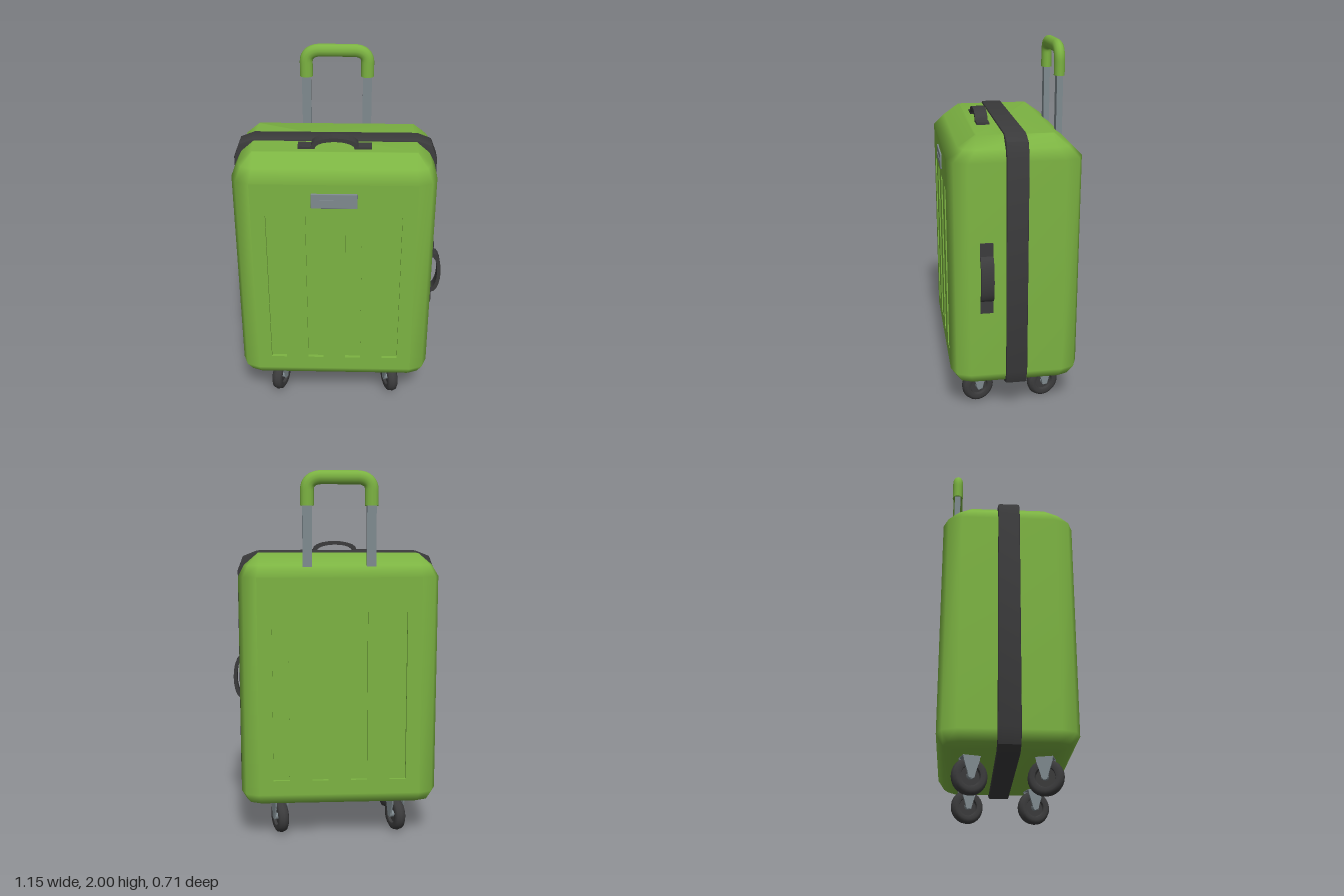
import * as THREE from 'three';
import { toCreasedNormals } from 'three/addons/utils/BufferGeometryUtils.js';
import { RoundedBoxGeometry } from 'three/addons/geometries/RoundedBoxGeometry.js';

const mat = (name, color) => Object.assign(new THREE.MeshStandardMaterial({ color }), { name });
const green = mat('shell green', 0x7cb342);
const dark = mat('rubber dark grey', 0x3b3b3c);
const metal = mat('metal grey', 0x7f8a8f);

const CX = -0.025, CZ = -0.006; // middle of the case
const HX = 0.537, HZ = 0.35;    // half width and half depth
const LOW = 0.27, HIGH = 1.45;  // flat part of the walls

function add(parent, name, geometry, material, x = 0, y = 0, z = 0) {
  const mesh = new THREE.Mesh(geometry, material);
  mesh.name = name;
  mesh.position.set(x, y, z);
  parent.add(mesh);
  return mesh;
}

// Outline of a rectangle with two-step rounded corners, running from +x to +second axis
function roundedLoop(hx, hz, r) {
  const k = r * 0.28;
  const corner = [[hx, hz - r], [hx - k, hz - k], [hx - r, hz]];
  const loop = [];
  for (const [sx, sz] of [[1, 1], [-1, 1], [-1, -1], [1, -1]]) {
    const pts = corner.map(([x, z]) => [x * sx, z * sz]);
    loop.push(...(sx * sz > 0 ? pts : pts.reverse()));
  }
  return loop;
}

// Shell lofted upwards through rounded sections, open where the ribbed panels go
function shellGeometry() {
  // height, inset in x, inset in z, corner radius
  const stations = [
    [0.19, 0.1, 0.1, 0.01], [0.215, 0.03, 0.035, 0.08], [LOW, 0, 0, 0.1],
    [HIGH, 0, 0, 0.1], [1.51, 0.03, 0.06, 0.08], [1.57, 0.1, 0.145, 0.01],
  ];
  const pos = [], all = [], open = [], N = 12;
  for (const [y, ix, iz, r] of stations)
    for (const [x, z] of roundedLoop(HX - ix, HZ - iz, r)) pos.push(x, y, z);
  const tri = (keep, ...t) => { all.push(...t); if (keep) open.push(...t); };
  for (let i = 0; i < stations.length - 1; i++)
    for (let j = 0; j < N; j++) {
      const a = i * N + j, b = i * N + (j + 1) % N;
      const keep = !(i === 2 && (j === 2 || j === 8));
      tri(keep, a, a + N, b);
      tri(keep, b, a + N, b + N);
    }
  const top = (stations.length - 1) * N;
  for (let j = 1; j < N - 1; j++) {
    tri(true, 0, j, j + 1);
    tri(true, top, top + j + 1, top + j);
  }
  const g = new THREE.BufferGeometry();
  g.setAttribute('position', new THREE.Float32BufferAttribute(pos, 3));
  g.setIndex(all);
  g.computeVertexNormals();
  g.setIndex(open);
  return g;
}

function rectPath(PathType, x0, x1, y0, y1) {
  return new PathType([[x0, y0], [x1, y0], [x1, y1], [x0, y1]].map(p => new THREE.Vector2(...p)));
}

// Flat wall with four sunken grooves
function ribbedPanel(name) {
  const group = new THREE.Group(), depth = 0.02;
  group.name = name;
  const shape = rectPath(THREE.Shape, -HX + 0.1, HX - 0.1, LOW, HIGH);
  for (const x of [-0.316, -0.105, 0.105, 0.316]) {
    shape.holes.push(rectPath(THREE.Path, x - 0.044, x + 0.044, 0.35, 1.267));
    add(group, 'grooveFloor', new THREE.PlaneGeometry(0.09, 0.92), green, x, 0.8085, HZ - depth + 0.001);
  }
  add(group, 'panel', new THREE.ExtrudeGeometry(shape, { depth, bevelEnabled: false }), green, 0, 0, HZ - depth);
  return group;
}

// Strap handle: two flat feet joined by an arch, standing on y = 0
function strapHandle(name, height) {
  const w = 0.068, t = 0.02, foot = 0.195, arch = 0.125, n = 10;
  const curve = (half, h) => Array.from({ length: n + 1 }, (_, i) => {
    const a = Math.PI * i / n;
    return new THREE.Vector2(-half * Math.cos(a), h * Math.sin(a) ** 0.9);
  });
  const outer = curve(arch, height - 0.012).map(p => p.add(new THREE.Vector2(0, 0.012)));
  const inner = curve(arch - t, height - t).reverse();
  const shape = new THREE.Shape([
    new THREE.Vector2(-foot, 0), new THREE.Vector2(-foot, 0.012), ...outer,
    new THREE.Vector2(foot, 0.012), new THREE.Vector2(foot, 0), ...inner]);
  const g = new THREE.ExtrudeGeometry(shape, { depth: w, bevelEnabled: false }).translate(0, 0, -w / 2);
  const group = new THREE.Group();
  group.name = name;
  add(group, 'strap', toCreasedNormals(g, 0.7), dark);
  return group;
}

// Swivel wheel with tyre, hub and two-pronged fork
function caster(name, x, z, turn) {
  const group = new THREE.Group();
  group.name = name;
  group.position.set(x, 0, z);
  group.rotation.y = turn;
  const profile = [[0.001, -0.012], [0.048, -0.012], [0.052, -0.026], [0.072, -0.031], [0.087, -0.022], [0.093, 0],
    [0.087, 0.022], [0.072, 0.031], [0.052, 0.026], [0.048, 0.012], [0.001, 0.012]];
  const tyre = new THREE.LatheGeometry(profile.map(p => new THREE.Vector2(...p)), 24).rotateZ(Math.PI / 2);
  add(group, 'tyre', toCreasedNormals(tyre, 0.8), dark, 0, 0.093, 0);
  add(group, 'hub', new THREE.CylinderGeometry(0.018, 0.018, 0.07, 14).rotateZ(Math.PI / 2), metal, 0, 0.093, 0);
  const prong = new THREE.Shape([[-0.046, 0.2], [-0.04, 0.165], [-0.022, 0.11], [-0.014, 0.08],
    [0.014, 0.08], [0.022, 0.11], [0.04, 0.165], [0.046, 0.2]].map(p => new THREE.Vector2(...p)));
  for (const s of [-1, 1]) {
    const g = new THREE.ExtrudeGeometry(prong, { depth: 0.01, bevelEnabled: false });
    add(group, 'forkProng', g.translate(0, 0, -0.005).rotateY(Math.PI / 2), metal, s * 0.034, 0, 0);
  }
  add(group, 'forkCrown', new THREE.BoxGeometry(0.078, 0.012, 0.09), metal, 0, 0.192, 0);
  return group;
}

// Rounded grip bent over the two rods
function pullGrip() {
  const v = (x, y) => new THREE.Vector3(x, y, 0);
  const path = new THREE.CurvePath();
  path.add(new THREE.LineCurve3(v(-0.17, 1.82), v(-0.17, 1.9)));
  path.add(new THREE.QuadraticBezierCurve3(v(-0.17, 1.9), v(-0.17, 1.96), v(-0.1, 1.966)));
  path.add(new THREE.LineCurve3(v(-0.1, 1.966), v(0.1, 1.966)));
  path.add(new THREE.QuadraticBezierCurve3(v(0.1, 1.966), v(0.17, 1.96), v(0.17, 1.9)));
  path.add(new THREE.LineCurve3(v(0.17, 1.9), v(0.17, 1.82)));
  const group = new THREE.Group();
  group.name = 'pullGrip';
  add(group, 'grip', new THREE.TubeGeometry(path, 48, 0.036, 12, false), green);
  for (const x of [-0.17, 0.17])
    add(group, 'gripEnd', new THREE.CircleGeometry(0.036, 12).rotateX(Math.PI / 2), green, x, 1.82, 0);
  group.scale.z = 0.82;
  return group;
}

export function createModel() {
  const model = new THREE.Group();
  model.name = 'suitcase';

  // Case
  const body = new THREE.Group();
  body.name = 'case';
  body.position.set(CX, 0, CZ);
  model.add(body);
  add(body, 'shell', shellGeometry(), green);
  const back = ribbedPanel('backPanel');
  back.rotation.y = Math.PI;
  body.add(ribbedPanel('frontPanel'), back);

  // Band around the seam
  const bevel = 0.008;
  const bandShape = new THREE.Shape(roundedLoop(0.55 - bevel, 0.705 - bevel, 0.1).map(p => new THREE.Vector2(...p)));
  const band = new THREE.ExtrudeGeometry(bandShape, {
    depth: 0.115 - 2 * bevel, bevelThickness: bevel, bevelSize: bevel, bevelSegments: 2 });
  band.translate(0, 0, -0.0575 + bevel);
  add(body, 'seamBand', toCreasedNormals(band, 0.6), dark, 0, 0.875, 0);

  // Name plate with a raised strip
  add(model, 'plate', new RoundedBoxGeometry(0.243, 0.084, 0.03, 1, 0.004), metal, -0.022, 1.359, 0.337);
  add(model, 'plateStrip', new THREE.BoxGeometry(0.155, 0.012, 0.004), metal, -0.02, 1.36, 0.353);

  // Carry handles
  const topHandle = strapHandle('topHandle', 0.06);
  topHandle.position.set(CX, 1.57, 0.125);
  const sideHandle = strapHandle('sideHandle', 0.06);
  sideHandle.position.set(0.511, 0.835, 0.155);
  sideHandle.rotation.z = -Math.PI / 2;
  model.add(topHandle, sideHandle);

  // Pull handle
  const pull = new THREE.Group();
  pull.name = 'pullHandle';
  pull.position.set(CX, 0, -0.287);
  model.add(pull);
  for (const x of [-0.17, 0.17])
    add(pull, 'rod', new THREE.BoxGeometry(0.05, 0.43, 0.033), metal, x, 1.635, 0);
  pull.add(pullGrip());

  // Wheels
  model.add(
    caster('frontRightWheel', -0.353, 0.185, -0.3), caster('frontLeftWheel', 0.303, 0.185, 0.3),
    caster('backRightWheel', -0.353, -0.19, 0.3), caster('backLeftWheel', 0.303, -0.19, 0.3));
  return model;
}
